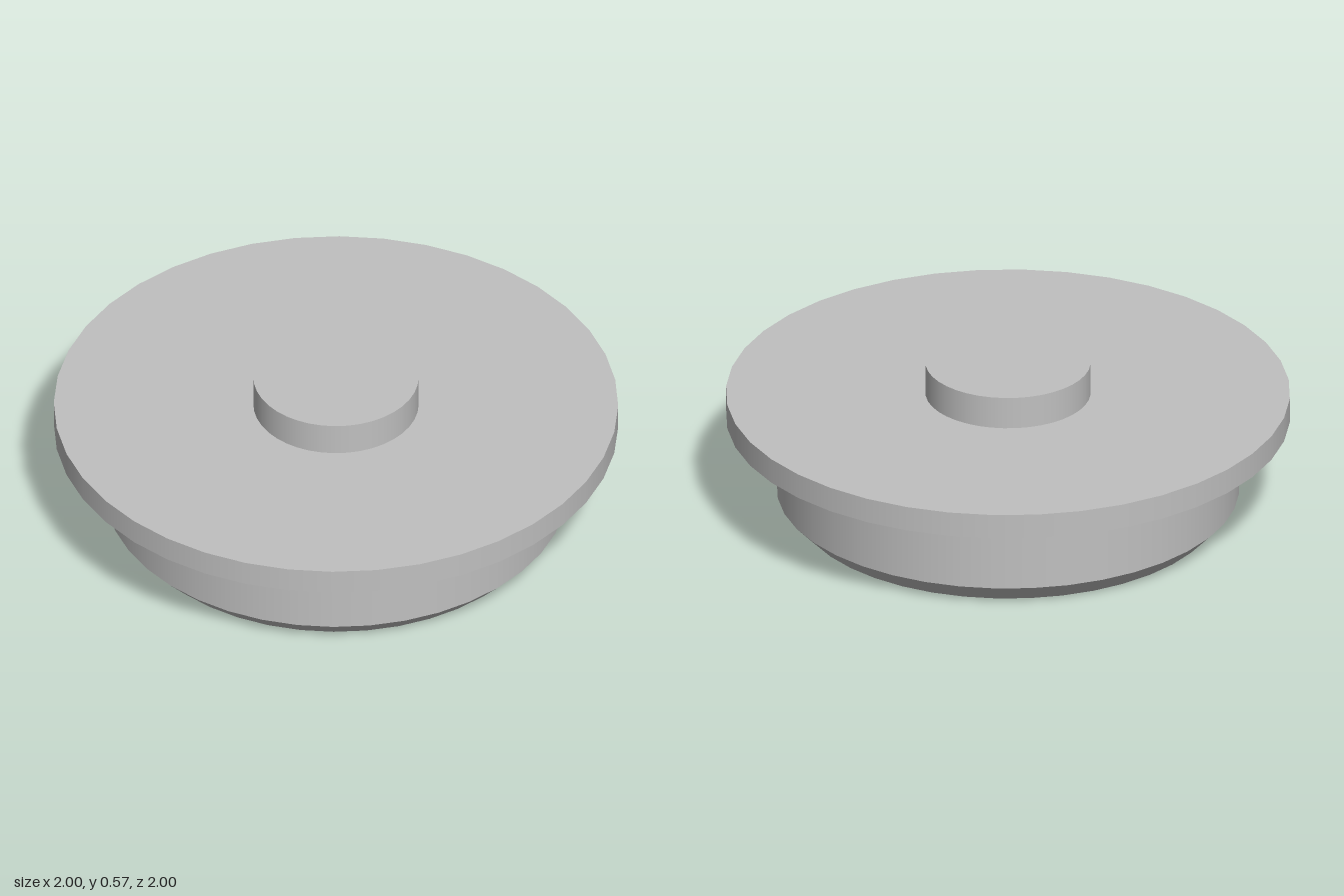
import * as THREE from 'three';

const SEGMENTS = 40;

export function createModel() {
  const model = new THREE.Group();
  model.name = 'flangedPlug';
  const grey = new THREE.MeshStandardMaterial({ color: 0xc0c0c0 });
  grey.name = 'plain grey';

  // Turns each profile section separately, so the rims between them stay sharp
  function turnedPart(name, profile) {
    const part = new THREE.Group();
    part.name = name;
    for (let i = 0; i < profile.length - 1; i++) {
      const section = [profile[i], profile[i + 1]].map(([r, y]) => new THREE.Vector2(r, y));
      const mesh = new THREE.Mesh(new THREE.LatheGeometry(section, SEGMENTS), grey);
      mesh.name = `${name}Surface${i + 1}`;
      part.add(mesh);
    }
    model.add(part);
  }

  // Plug body: flat base, chamfer and straight wall
  turnedPart('plugBody', [[0, 0], [0.75, 0], [0.82, 0.073], [0.82, 0.357]]);
  // Wide flange: underside ring, rim and top ring
  turnedPart('flange', [[0.82, 0.357], [1, 0.357], [1, 0.449], [0.293, 0.449]]);
  // Small central knob: wall and top
  turnedPart('knob', [[0.293, 0.449], [0.293, 0.568], [0, 0.568]]);

  return model;
}
